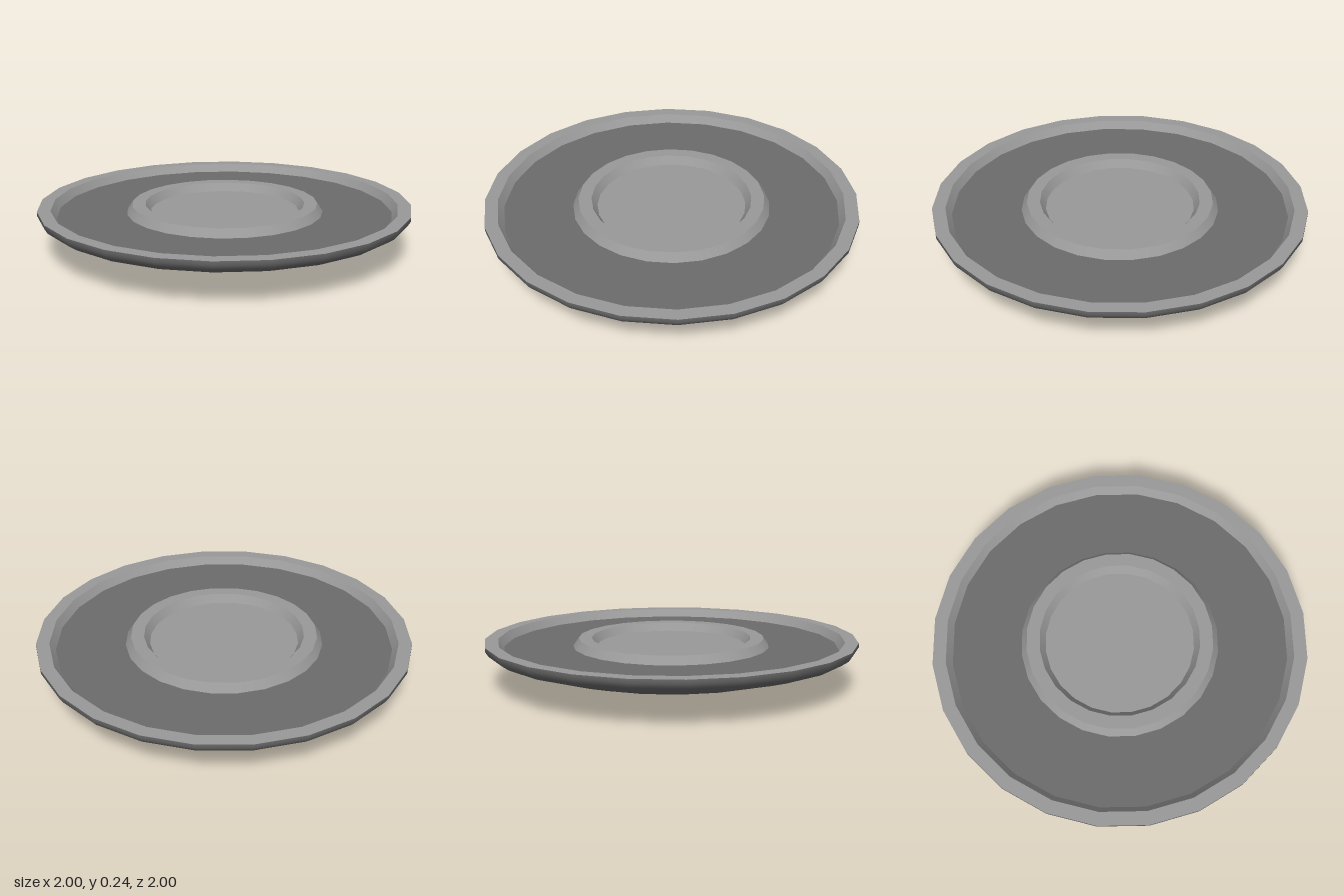
import * as THREE from 'three';

const SEGMENTS = 24;
const RIM_Y = 0.243;
const FLOOR_Y = 0.2;

export function createModel() {
  const model = new THREE.Group();
  model.name = 'dish';

  const lightGrey = new THREE.MeshStandardMaterial({ color: 0x999999 });
  lightGrey.name = 'light grey';
  const darkGrey = new THREE.MeshStandardMaterial({ color: 0x6c6c6c });
  darkGrey.name = 'dark grey';

  // Revolves one band; profiles run from the underside outward, then inward over the top
  const band = (name, points, material, parent = model) => {
    const profile = points.map(([r, y]) => new THREE.Vector2(r, y));
    const mesh = new THREE.Mesh(new THREE.LatheGeometry(profile, SEGMENTS), material);
    mesh.name = name;
    parent.add(mesh);
  };

  // Smooth shallow bowl with a rounded edge
  band('underside', [
    [0, 0], [0.15, 0.005], [0.3, 0.019], [0.5, 0.051], [0.7, 0.098], [0.85, 0.142],
    [0.95, 0.174], [0.985, 0.198], [1, 0.222], [1, RIM_Y],
  ], darkGrey);

  // Outer rim: flat lip and sloped inner wall, kept apart for crisp edges
  const rim = new THREE.Group();
  rim.name = 'outerRim';
  model.add(rim);
  band('rimTop', [[1, RIM_Y], [0.93, RIM_Y]], lightGrey, rim);
  band('rimInnerWall', [[0.93, RIM_Y], [0.9, FLOOR_Y]], lightGrey, rim);

  // Recessed floor between the rim and the central ring
  band('recessedFloor', [[0.9, FLOOR_Y], [0.53, FLOOR_Y]], darkGrey);

  // Raised central ring
  const ring = new THREE.Group();
  ring.name = 'centralRing';
  model.add(ring);
  band('ringOuterWall', [[0.53, FLOOR_Y], [0.5, RIM_Y]], lightGrey, ring);
  band('ringTop', [[0.5, RIM_Y], [0.43, RIM_Y]], lightGrey, ring);
  band('ringInnerWall', [[0.43, RIM_Y], [0.4, FLOOR_Y]], lightGrey, ring);

  // Disc inside the ring
  band('centreDisc', [[0.4, FLOOR_Y], [0, FLOOR_Y]], lightGrey);

  return model;
}
